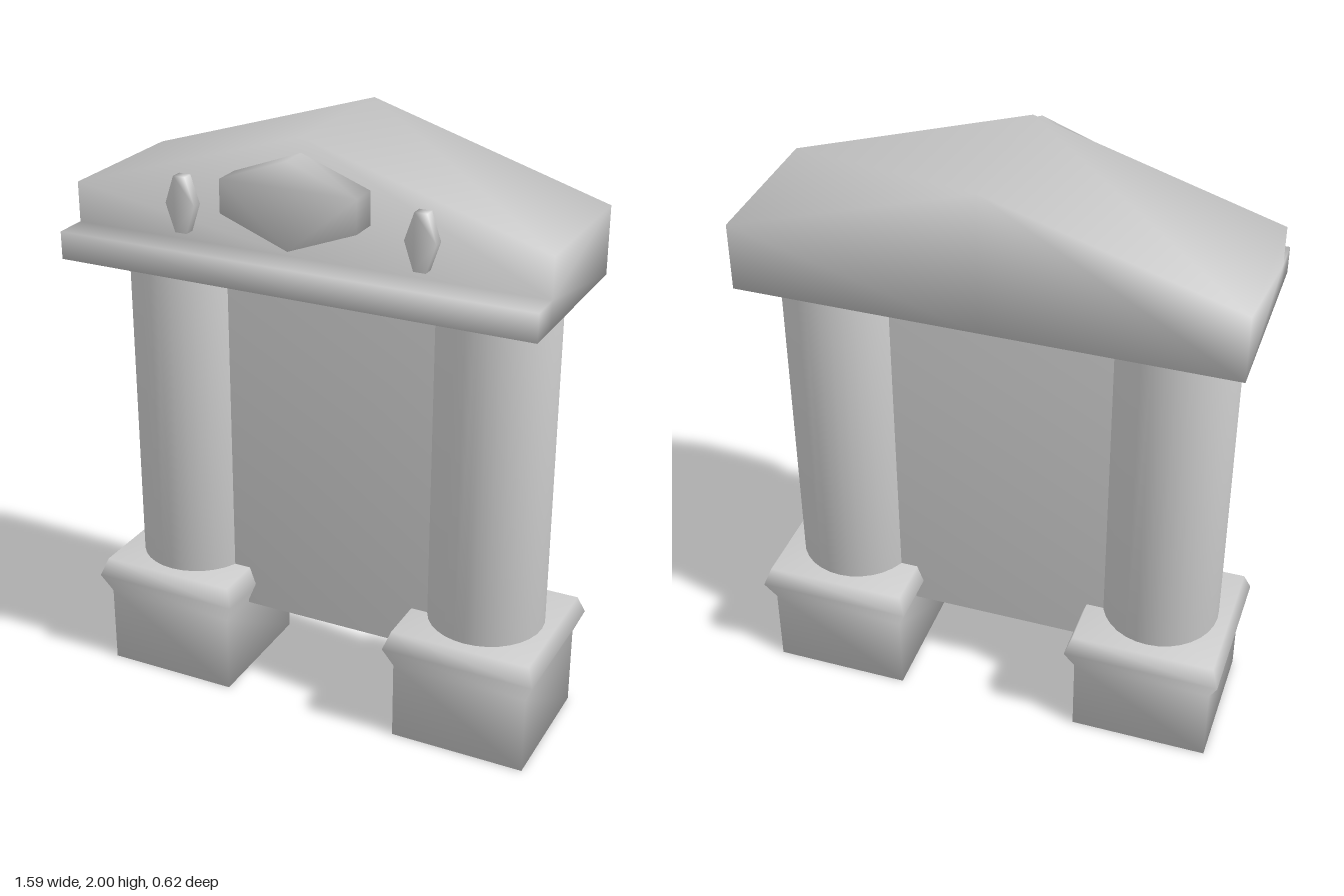
import * as THREE from 'three';
import { mergeVertices } from 'three/addons/utils/BufferGeometryUtils.js';

const material = new THREE.MeshStandardMaterial({ color: 0xcccccc });

// Weld all corners so shading runs smoothly over the edges.
function smoothMesh(geometry, name) {
  geometry.deleteAttribute('uv');
  geometry.deleteAttribute('normal');
  const welded = mergeVertices(geometry, 1e-4);
  welded.computeVertexNormals();
  const mesh = new THREE.Mesh(welded, material);
  mesh.name = name;
  return mesh;
}

// Gabled top with front ledge: L-shaped (z, y) section swept across x.
function pedimentGeometry() {
  const stations = [[-0.785, 1.76], [0, 2], [0.785, 1.76]];
  const positions = [];
  const index = [];
  for (const [x, top] of stations) {
    const section = [[-0.305, 1.54], [0.2, 1.54], [0.31, 1.54], [0.31, 1.63],
      [0.2, 1.63], [0.2, top], [-0.305, top]];
    for (const [z, y] of section) positions.push(x, y, z);
  }
  const n = 7;
  for (let s = 0; s < 2; s++) {
    for (let i = 0; i < n; i++) {
      const a = s * n + i, b = s * n + (i + 1) % n;
      index.push(a, a + n, b, b, a + n, b + n);
    }
  }
  // End caps, wound outward on each side
  const cap = [[0, 1, 4], [0, 4, 6], [4, 5, 6], [1, 2, 3], [1, 3, 4]];
  for (const [a, b, c] of cap) {
    index.push(a, b, c, 2 * n + a, 2 * n + c, 2 * n + b);
  }
  const geometry = new THREE.BufferGeometry();
  geometry.setAttribute('position', new THREE.Float32BufferAttribute(positions, 3));
  geometry.setIndex(index);
  return geometry;
}

// Square block with a flared rim
function pedestalGeometry() {
  const profile = [[0, 0], [0.228, 0], [0.228, 0.27], [0.257, 0.34], [0.235, 0.4], [0, 0.4]];
  const points = profile.map(([half, y]) => new THREE.Vector2(half * Math.SQRT2, y));
  return new THREE.LatheGeometry(points, 4).rotateY(Math.PI / 4);
}

// Flat raised ornament on the gable front
function ornament(outline, depth, name) {
  const shape = new THREE.Shape(outline.map(([x, y]) => new THREE.Vector2(x, y)));
  const mesh = smoothMesh(
    new THREE.ExtrudeGeometry(shape, { depth: depth + 0.01, bevelEnabled: false }), name);
  mesh.position.z = 0.19;
  return mesh;
}

export function createModel() {
  const group = new THREE.Group();
  group.name = 'portal';

  group.add(smoothMesh(pedimentGeometry(), 'pediment'));

  // Wall panel between the columns
  const panel = smoothMesh(new THREE.BoxGeometry(1.0, 1.28, 0.14), 'wallPanel');
  panel.position.set(0, 0.9, -0.05);
  group.add(panel);

  // Central plaque
  group.add(ornament([[0, 1.68], [0.223, 1.765], [0.223, 1.87], [0, 1.953],
    [-0.223, 1.87], [-0.223, 1.765]], 0.093, 'centralPlaque'));

  for (const [side, label] of [[1, 'left'], [-1, 'right']]) {
    const column = smoothMesh(new THREE.CylinderGeometry(0.193, 0.193, 1.16, 32), label + 'Column');
    column.position.set(side * 0.54, 0.97, -0.05);
    const pedestal = smoothMesh(pedestalGeometry(), label + 'Pedestal');
    pedestal.position.set(side * 0.538, 0, -0.053);
    const stud = ornament([[-0.02, 1.66], [0.02, 1.66], [0.05, 1.75], [0.02, 1.838],
      [-0.02, 1.838], [-0.05, 1.75]], 0.035, label + 'Stud');
    stud.position.x = side * 0.395;
    group.add(column, pedestal, stud);
  }
  return group;
}
